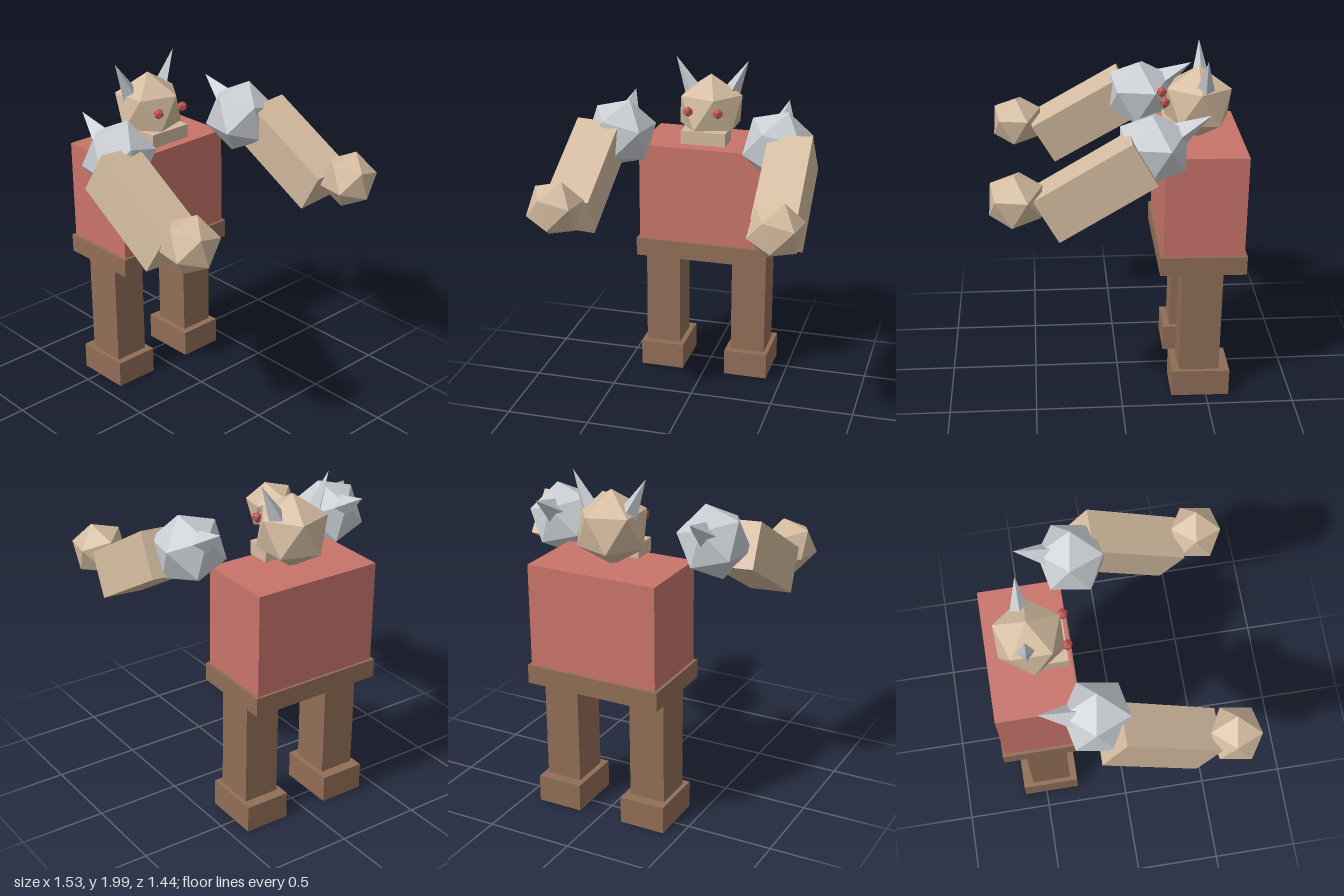
import * as THREE from 'three';
import { ConvexGeometry } from 'three/addons/geometries/ConvexGeometry.js';

const material = (name, color) => {
  const m = new THREE.MeshStandardMaterial({ color });
  m.name = name;
  m.flatShading = true;
  return m;
};

// Twenty-sided ball with a corner straight up and one upper corner towards +x
function icoBall(radius) {
  const points = [new THREE.Vector3(0, radius, 0), new THREE.Vector3(0, -radius, 0)];
  const ring = radius * 2 / Math.sqrt(5);
  for (let i = 0; i < 10; i++) {
    const a = i * Math.PI / 5;
    const y = (i % 2 ? -1 : 1) * radius / Math.sqrt(5);
    points.push(new THREE.Vector3(Math.cos(a) * ring, y, Math.sin(a) * ring));
  }
  return new ConvexGeometry(points);
}

export function createModel() {
  const model = new THREE.Group();
  const skin = material('tan skin', 0xd3bb9f);
  const tunic = material('red tunic', 0xc8746a);
  const leather = material('brown leather', 0x916e56);
  const steel = material('grey steel', 0xc9cdd2);
  const eyeRed = material('eye red', 0xb9524e);
  const lean = -0.015; // slight backward lean of the body
  const raise = -Math.PI / 3; // arms lifted forward

  const add = (name, geometry, mat, x, y, z, rx = 0, rz = 0) => {
    const mesh = new THREE.Mesh(geometry, mat);
    mesh.name = name;
    mesh.position.set(x, y, z);
    mesh.rotation.set(rx, 0, rz, 'ZYX');
    model.add(mesh);
    return mesh;
  };
  const box = (w, h, d) => new THREE.BoxGeometry(w, h, d);
  const spike = (r, h) => new THREE.ConeGeometry(r, h, 4);

  // Body
  add('torso', box(0.775, 0.595, 0.465), tunic, 0, 1.203, -0.472, lean);
  add('belt', box(0.81, 0.11, 0.495), leather, 0, 0.852, -0.467, lean);

  // Head and jaw
  add('head', icoBall(0.214), skin, 0, 1.696, -0.458, lean);
  add('jaw', box(0.27, 0.08, 0.145), skin, 0, 1.564, -0.337, lean);

  for (const s of [-1, 1]) {
    const side = s > 0 ? 'left' : 'right';
    add(side + 'Eye', icoBall(0.032), eyeRed, s * 0.09, 1.727, -0.262);
    add(side + 'Horn', spike(0.06, 0.255), steel, s * 0.163, 1.884, -0.485, 0, -s * 0.47);

    // Legs
    add(side + 'Leg', box(0.213, 0.62, 0.235), leather, s * 0.273, 0.478, -0.462, lean);
    add(side + 'Foot', box(0.27, 0.16, 0.338), leather, s * 0.27, 0.087, -0.466, lean);

    // Arms with spiked shoulder guards
    add(side + 'Arm', box(0.252, 0.605, 0.27), skin, s * 0.582, 1.436, 0.157, raise, s * 0.06);
    add(side + 'Fist', icoBall(0.165), skin, s * 0.616, 1.382, 0.577, raise);
    add(side + 'ShoulderGuard', icoBall(0.213), steel, s * 0.47, 1.6, -0.163, raise);
    add(side + 'ShoulderSpike', spike(0.08, 0.23), steel, s * 0.472, 1.723, -0.376, raise);
  }
  return model;
}
